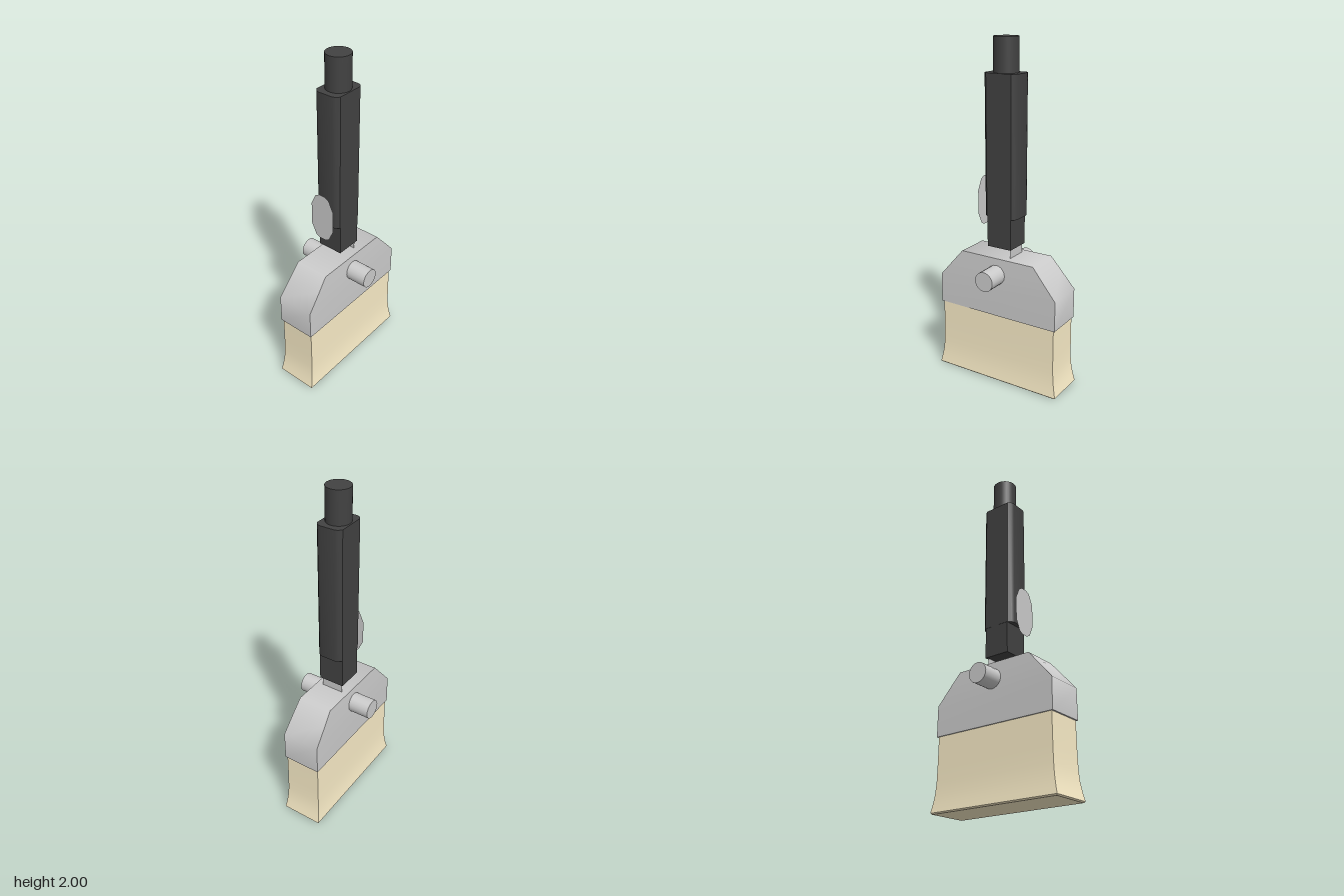
import * as THREE from 'three';
import { toCreasedNormals } from 'three/addons/utils/BufferGeometryUtils.js';

const grey = new THREE.MeshStandardMaterial({ color: 0xcccccc });
const greyThin = new THREE.MeshStandardMaterial({ color: 0xcccccc, side: THREE.DoubleSide });
const black = new THREE.MeshStandardMaterial({ color: 0x424242 });
const tan = new THREE.MeshStandardMaterial({ color: 0xfaedc8 });

// Closed solid through stacked rectangles, each [y, half width, half depth]
function loft(sections, crease) {
  const pos = [];
  const index = [];
  for (const [y, a, b] of sections) pos.push(a, y, b, a, y, -b, -a, y, -b, -a, y, b);
  for (let s = 0; s < sections.length - 1; s++) {
    for (let i = 0; i < 4; i++) {
      const p = s * 4 + i, q = s * 4 + (i + 1) % 4;
      index.push(p, q, q + 4, p, q + 4, p + 4);
    }
  }
  const t = (sections.length - 1) * 4;
  index.push(0, 2, 1, 0, 3, 2, t, t + 1, t + 2, t, t + 2, t + 3);
  const geo = new THREE.BufferGeometry();
  geo.setAttribute('position', new THREE.Float32BufferAttribute(pos, 3));
  geo.setIndex(index);
  return toCreasedNormals(geo, crease);
}

// Shape symmetric about both axes, from points of its +x +y quarter (top to side)
function quarterShape(quarter) {
  const back = [...quarter].reverse();
  return new THREE.Shape([
    ...quarter.map(([x, y]) => new THREE.Vector2(x, y)),
    ...back.map(([x, y]) => new THREE.Vector2(x, -y)),
    ...quarter.map(([x, y]) => new THREE.Vector2(-x, -y)),
    ...back.map(([x, y]) => new THREE.Vector2(-x, y)),
  ]);
}

export function createModel() {
  const model = new THREE.Group();
  const add = (name, geo, mat, x = 0, y = 0, z = 0) => {
    const mesh = new THREE.Mesh(geo, mat);
    mesh.name = name;
    mesh.position.set(x, y, z);
    model.add(mesh);
    return mesh;
  };

  // Bristle block flaring out towards the floor
  add('bristles', loft([
    [0, 0.117, 0.4], [0.007, 0.124, 0.407], [0.05, 0.118, 0.397], [0.1, 0.113, 0.388],
    [0.16, 0.11, 0.383], [0.25, 0.109, 0.381], [0.43, 0.108, 0.38],
  ], 0.6), tan);

  // Clamp holding the bristles, with sloping shoulders
  add('clamp', loft([
    [0.422, 0.115, 0.39], [0.6, 0.114, 0.39], [0.7, 0.109, 0.304], [0.774, 0.104, 0.24],
  ], 0.9), grey);

  // Side pins
  for (const side of [-1, 1]) {
    const pin = new THREE.CylinderGeometry(0.058, 0.058, 0.16, 20);
    pin.rotateZ(Math.PI / 2);
    add(side > 0 ? 'leftPin' : 'rightPin', pin, grey, side * 0.155, 0.676, 0);
  }

  // Thin neck strip between clamp and handle
  add('neck', new THREE.PlaneGeometry(0.132, 0.1), greyThin, 0, 0.81, -0.066);

  // Handle: square core, thicker grip and round end
  add('handleCore', new THREE.BoxGeometry(0.154, 0.97, 0.154), black, 0, 1.314, 0);
  const grip = new THREE.ExtrudeGeometry(
    quarterShape([[0.045, 0.104], [0.062, 0.098], [0.078, 0.08]]),
    { depth: 0.8, bevelEnabled: false });
  grip.rotateX(-Math.PI / 2);
  add('grip', toCreasedNormals(grip, 0.7), black, 0, 1.01, 0);
  add('handleEnd', new THREE.CylinderGeometry(0.07, 0.07, 0.2, 32), black, 0, 1.9, 0);

  // Thin oval plate in front of the handle
  add('frontPlate', new THREE.ShapeGeometry(
    quarterShape([[0.02, 0.145], [0.046, 0.131], [0.076, 0.067]])),
  greyThin, 0, 1.08, 0.14);

  return model;
}
